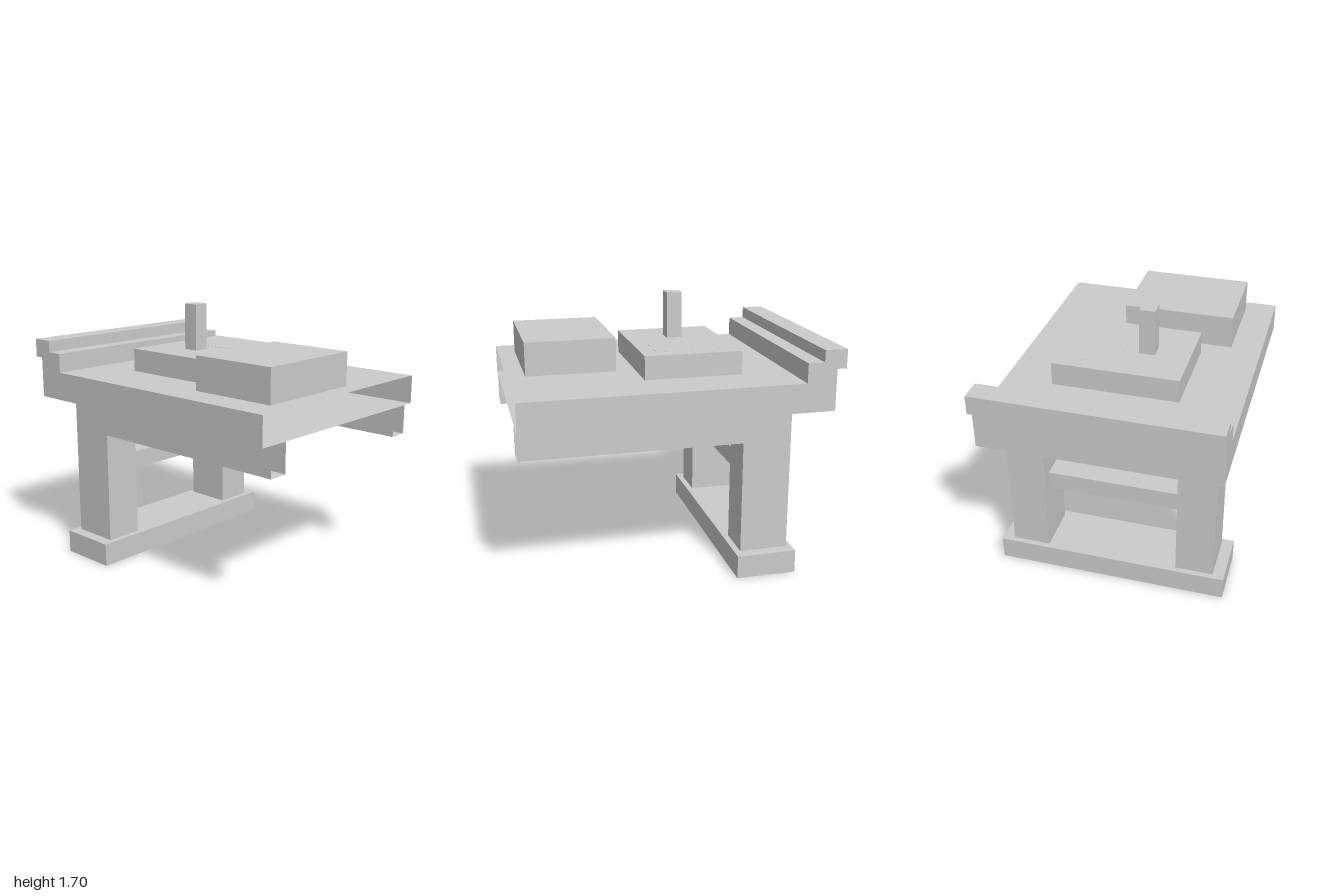
import * as THREE from 'three';

const material = new THREE.MeshStandardMaterial({ color: 0xcccccc, flatShading: true, side: THREE.DoubleSide });

export function createModel() {
  const model = new THREE.Group();

  // Box given by its extents; openEnd leaves off the +x face
  function box(name, [x0, x1], [y0, y1], [z0, z1], openEnd = false) {
    const geometry = new THREE.BoxGeometry(x1 - x0, y1 - y0, z1 - z0);
    if (openEnd) geometry.setIndex(Array.from(geometry.index.array).slice(6));
    const mesh = new THREE.Mesh(geometry, material);
    mesh.name = name;
    mesh.position.set((x0 + x1) / 2, (y0 + y1) / 2, (z0 + z1) / 2);
    model.add(mesh);
  }

  // Base and crossbar
  box('foot', [-0.725, -0.34], [0, 0.15], [-0.75, 0.75]);
  box('crossbar', [-0.615, -0.455], [0.57, 0.69], [-0.43, 0.43]);

  // Legs and the hollow rails that carry the top
  for (const [side, s] of [['front', 1], ['back', -1]]) {
    const span = (a, b) => (s > 0 ? [a, b] : [-b, -a]);
    box(side + 'Leg', [-0.69, -0.38], [0.15, 1.065], span(0.43, 0.675));
    box(side + 'Rail', [-0.38, 1], [0.875, 1.065], span(0.55, 0.675), true);
  }

  // Hollow table top, open at its +x end
  box('tableTop', [-0.94, 1], [1.065, 1.25], [-0.75, 0.75], true);

  // Stepped ledge with an overhanging lip
  const profile = new THREE.Shape([
    [-0.94, 1.25], [-0.75, 1.25], [-0.75, 1.375], [-0.855, 1.375],
    [-0.855, 1.45], [-1, 1.45], [-1, 1.33], [-0.94, 1.33],
  ].map(([x, y]) => new THREE.Vector2(x, y)));
  const ledge = new THREE.Mesh(
    new THREE.ExtrudeGeometry(profile, { depth: 1.5, bevelEnabled: false }), material);
  ledge.name = 'steppedLedge';
  ledge.position.z = -0.75;
  model.add(ledge);

  // Blocks on the table, with a thin inset panel and an upright post
  box('middleBlock', [-0.44, 0.185], [1.25, 1.4], [-0.44, 0.37]);
  box('insetPanel', [-0.35, 0.09], [1.39, 1.401], [-0.35, -0.05]);
  box('post', [-0.18, -0.08], [1.4, 1.7], [0.05, 0.15]);
  box('endBlock', [0.31, 0.885], [1.25, 1.465], [-0.175, 0.55]);

  return model;
}
